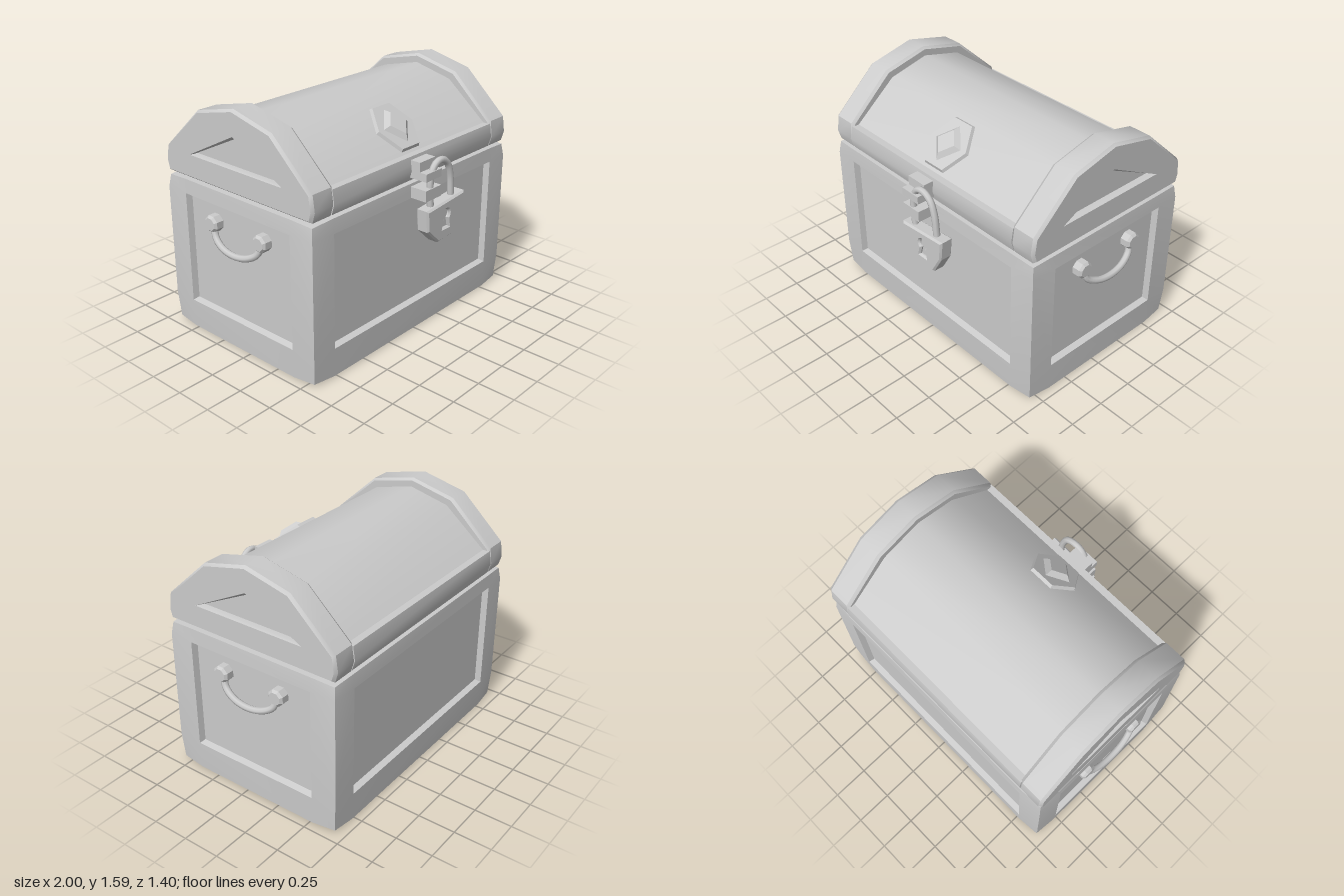
import * as THREE from 'three';
import { toCreasedNormals } from 'three/addons/utils/BufferGeometryUtils.js';

const mat = new THREE.MeshStandardMaterial({ color: 0xcccccc });
const flatMat = new THREE.MeshStandardMaterial({ color: 0xcccccc, flatShading: true });

function add(parent, name, geo, material = mat) {
  const mesh = new THREE.Mesh(geo, material);
  mesh.name = name;
  parent.add(mesh);
  return mesh;
}

const shapeOf = (pts) => new THREE.Shape(pts.map(([x, y]) => new THREE.Vector2(x, y)));

// Mirror a half profile (edge to ridge) into a closed outline
const mirrored = (half) => [...half, ...half.slice(0, -1).reverse().map(([z, y]) => [-z, y])];

// Extrude a (z, y) shape along x, centred on x = 0
function extrudeX(shape, length, bevel = 0) {
  const thick = bevel * 1.3;
  const geo = new THREE.ExtrudeGeometry(shape, {
    depth: length - 2 * thick, bevelEnabled: bevel > 0, bevelSegments: 1,
    bevelSize: bevel, bevelThickness: thick, bevelOffset: -bevel,
  });
  geo.translate(0, 0, thick - length / 2).rotateY(-Math.PI / 2);
  return toCreasedNormals(geo, 0.6);
}

// Box with softly pulled-in edges and a recessed panel on each face but the top
function panelledBox(grid, depth, taper) {
  const pos = [];
  const quad = (c, flip) => {
    const [p, q, r, s] = flip ? [...c].reverse() : c;
    pos.push(...p, ...q, ...r, ...p, ...r, ...s);
  };
  const point = (idx) => {
    const ends = idx.filter((i) => i === 0 || i === 3).length;
    const pull = [0, 0, 0.006, 0.018][ends];
    return idx.map((i, a) => grid[a][i] + (i === 0 ? pull : i === 3 ? -pull : 0));
  };
  for (let a = 0; a < 3; a++) for (const side of [0, 3]) {
    const u = (a + 1) % 3, v = (a + 2) % 3, flip = side === 0;
    const at = (i, j) => {
      const idx = [];
      idx[a] = side; idx[u] = i; idx[v] = j;
      return point(idx);
    };
    const isTop = a === 1 && side === 3;
    for (let i = 0; i < 3; i++) for (let j = 0; j < 3; j++) {
      if (i === 1 && j === 1 && !isTop) continue;
      quad([at(i, j), at(i + 1, j), at(i + 1, j + 1), at(i, j + 1)], flip);
    }
    if (isTop) continue;
    const corners = [[1, 1], [2, 1], [2, 2], [1, 2]];
    const rim = corners.map(([i, j]) => at(i, j));
    const floor = rim.map((p, n) => {
      const q = [...p];
      q[a] += flip ? depth : -depth;
      q[u] += corners[n][0] === 1 ? taper : -taper;
      q[v] += corners[n][1] === 1 ? taper : -taper;
      return q;
    });
    for (let n = 0; n < 4; n++) {
      const m = (n + 1) % 4;
      quad([rim[n], rim[m], floor[m], floor[n]], flip);
    }
    quad(floor, flip);
  }
  const geo = new THREE.BufferGeometry();
  geo.setAttribute('position', new THREE.Float32BufferAttribute(pos, 3));
  return toCreasedNormals(geo, 0.5);
}

function makeLid() {
  const lid = new THREE.Group();
  lid.name = 'lid';
  // Barrel top, which also forms the floor of the end recesses
  const barrel = mirrored([[0.575, 1.1], [0.575, 1.22], [0.28, 1.465], [0, 1.532]]);
  add(lid, 'lidBarrel', extrudeX(shapeOf(barrel), 1.8));
  // Rim along front and back
  const rim = [[0.615, 1.062], [0.635, 1.13], [0.622, 1.22]];
  add(lid, 'lidRim', extrudeX(shapeOf([...rim, ...rim.map(([z, y]) => [-z, y]).reverse()]), 1.54));
  // Raised gable ends with a triangular recess
  const gable = shapeOf(mirrored([[0.615, 1.062], [0.635, 1.13], [0.62, 1.235], [0.315, 1.518], [0, 1.592]]));
  gable.holes.push(shapeOf([[-0.38, 1.225], [0, 1.41], [0.38, 1.225]]));
  for (const s of [-1, 1])
    add(lid, 'lidEnd', extrudeX(gable, 0.185, 0.015)).position.x = s * 0.8525;

  // Hexagonal plate with a diamond stud on the front slope
  const ornament = new THREE.Group();
  ornament.name = 'ornament';
  ornament.position.set(0, 1.343, 0.428);
  ornament.rotation.x = 0.693;
  const plate = new THREE.CylinderGeometry(0.16, 0.178, 0.04, 6).rotateY(Math.PI / 2).scale(1, 1, 1.16);
  add(ornament, 'ornamentPlate', plate, flatMat);
  const stud = add(ornament, 'diamondStud', new THREE.CylinderGeometry(0.075, 0.12, 0.035, 4), flatMat);
  stud.position.y = 0.032;
  stud.scale.z = 1.12;
  lid.add(ornament);
  return lid;
}

// Side handle on the +x side: two octagonal knobs and a drooping bar
function makeHandle() {
  const handle = new THREE.Group();
  handle.name = 'sideHandle';
  for (const s of [-1, 1]) {
    const profile = [[0, -0.045], [0.05, -0.045], [0.057, -0.03], [0.057, 0.025], [0.042, 0.04], [0, 0.04]];
    const knob = new THREE.LatheGeometry(profile.map(([r, y]) => new THREE.Vector2(r, y)), 8);
    knob.rotateY(Math.PI / 8).rotateZ(-Math.PI / 2);
    add(handle, 'handleKnob', knob, flatMat).position.set(0.935, 0.82, s * 0.213);
  }
  const path = [[0.94, 0.81, -0.21], [0.955, 0.74, -0.185], [0.972, 0.695, -0.11], [0.978, 0.677, 0],
    [0.972, 0.695, 0.11], [0.955, 0.74, 0.185], [0.94, 0.81, 0.21]];
  const curve = new THREE.CatmullRomCurve3(path.map((p) => new THREE.Vector3(...p)));
  add(handle, 'handleBar', new THREE.TubeGeometry(curve, 24, 0.022, 8));
  return handle;
}

function makePadlock() {
  const lock = new THREE.Group();
  lock.name = 'padlock';
  // Lock body with a keyhole
  const body = shapeOf([[-0.078, 0.895], [-0.065, 0.75], [0.045, 0.647], [0.215, 0.665], [0.288, 0.79], [0.303, 0.925]]);
  const key = new THREE.Path();
  key.moveTo(0.085, 0.73);
  key.lineTo(0.102, 0.79);
  key.absarc(0.117, 0.82, 0.032, -2.1, -1.04, true);
  key.lineTo(0.147, 0.73);
  key.closePath();
  body.holes.push(key);
  const geo = new THREE.ExtrudeGeometry(body, {
    depth: 0.07, bevelSegments: 1, bevelSize: 0.012, bevelThickness: 0.012, bevelOffset: -0.012, curveSegments: 8,
  });
  add(lock, 'lockBody', toCreasedNormals(geo, 0.4)).position.z = 0.62;
  add(lock, 'keyholeBack', new THREE.BoxGeometry(0.16, 0.18, 0.06)).position.set(0.116, 0.785, 0.652);
  // Shackle
  const path = [[0.005, 0.88], [-0.005, 1.0], [0, 1.1], [0.04, 1.165], [0.1, 1.18], [0.16, 1.145], [0.195, 1.06], [0.212, 0.9]];
  const curve = new THREE.CatmullRomCurve3(path.map(([x, y]) => new THREE.Vector3(x, y, 0.658)));
  add(lock, 'shackle', new THREE.TubeGeometry(curve, 32, 0.022, 8));
  return lock;
}

export function createModel() {
  const chest = new THREE.Group();
  chest.name = 'treasureChest';

  // Main box and lid share a centre slightly behind the origin
  const box = new THREE.Group();
  box.name = 'box';
  box.position.z = -0.065;
  const grid = [[-0.95, -0.772, 0.772, 0.95], [0, 0.2, 0.952, 1.052], [-0.635, -0.457, 0.457, 0.635]];
  add(box, 'chestBody', panelledBox(grid, 0.04, 0.012));
  box.add(makeLid());
  const left = makeHandle(), right = makeHandle();
  right.rotation.y = Math.PI;
  box.add(left, right);
  chest.add(box);

  // Hasp staples: [bottom, top, front z]
  for (const [y0, y1, z1] of [[1.085, 1.2, 0.632], [1.085, 1.137, 0.684], [0.955, 1.028, 0.684]]) {
    const staple = add(chest, 'haspStaple', new THREE.BoxGeometry(0.15, y1 - y0, z1 - 0.54));
    staple.position.set(-0.003, (y0 + y1) / 2, (z1 + 0.54) / 2);
  }
  chest.add(makePadlock());
  return chest;
}
